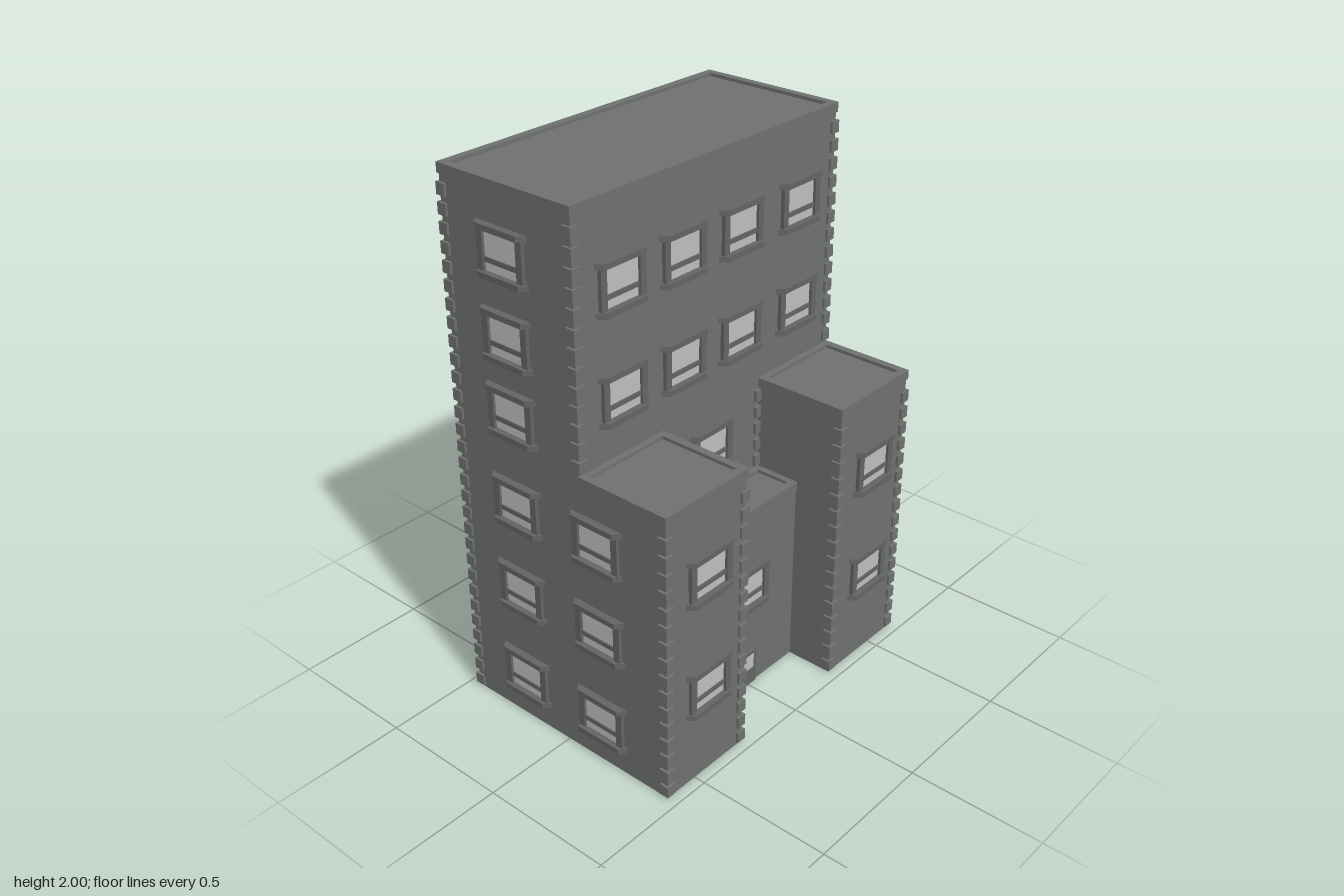
import * as THREE from 'three';

const mat = (name, color, side = THREE.FrontSide) => {
  const m = new THREE.MeshStandardMaterial({ color, side });
  m.name = name;
  return m;
};

export function createModel() {
  const root = new THREE.Group();
  root.name = 'building';
  const wall = mat('wall grey', 0x6f7270);
  const trim = mat('trim grey', 0x636664);
  const glass = mat('window glass', 0xc0c0c0, THREE.DoubleSide);

  const add = (parent, name, geo, material, x = 0, y = 0, z = 0) => {
    const m = new THREE.Mesh(geo, material);
    m.name = name;
    m.position.set(x, y, z);
    parent.add(m);
    return m;
  };
  const box = (parent, name, w, h, d, material, x, y, z) =>
    add(parent, name, new THREE.BoxGeometry(w, h, d), material, x, y, z);

  // Rectangular ring seen from above, raised from y0 to y1
  const ring = (parent, name, [x0, x1, z0, z1], t, y0, y1, material) => {
    const rect = (a, b, c, d) => [[a, c], [b, c], [b, d], [a, d]].map(p => new THREE.Vector2(...p));
    const s = new THREE.Shape(rect(x0, x1, -z1, -z0));
    s.holes.push(new THREE.Path(rect(x0 + t, x1 - t, -z1 + t, -z0 - t)));
    const g = new THREE.ExtrudeGeometry(s, { depth: y1 - y0, bevelEnabled: false });
    add(parent, name, g.rotateX(-Math.PI / 2), material, 0, y0, 0);
  };

  // Hollow block, open below, with a recessed roof and a slim parapet cap
  const block = (name, r, h) => {
    const g = new THREE.Group();
    g.name = name;
    root.add(g);
    const [x0, x1, z0, z1] = r, e = 0.005;
    ring(g, 'walls', r, 0.012, 0, h - 0.035, wall);
    ring(g, 'parapet', [x0 - e, x1 + e, z0 - e, z1 + e], 0.028, h - 0.035, h, wall);
    box(g, 'roof', x1 - x0 - 0.02, 0.02, z1 - z0 - 0.02, wall, (x0 + x1) / 2, h - 0.022, (z0 + z1) / 2);
  };
  const X = 0.636, ZB = -0.461, ZT = 0.1, ZF = 0.457, XI = 0.253, ZM = 0.277;
  block('tower', [-X, X, ZB, ZT], 2);
  block('rightWing', [-X, -XI, ZT, ZF], 1.105);
  block('leftWing', [XI, X, ZT, ZF], 1.105);
  block('entranceBlock', [-XI, XI, ZT, ZM], 0.75);

  // Corner stones: stacked L-shaped blocks; sx, sz point out of the corner
  const STEP = 0.065, STONE = 0.042;
  const corner = (x, z, sx, sz, y0, y1) => {
    const o = 0.009, a = 0.028;
    const pts = [[o, o], [o, -a], [0, -a], [0, 0], [-a, 0], [-a, o]]
      .map(([u, v]) => new THREE.Vector2(u * sx, -v * sz));
    const g = new THREE.ExtrudeGeometry(new THREE.Shape(pts), { depth: STONE, bevelEnabled: false });
    g.rotateX(-Math.PI / 2);
    for (let y = y0; y + STONE < y1; y += STEP) add(root, 'cornerStone', g, wall, x, y, z);
  };
  for (const s of [-1, 1]) {
    corner(s * X, ZB, s, -1, 0.01, 1.965);
    corner(s * X, ZT, s, 1, 1.115, 1.965);
    corner(s * X, ZF, s, 1, 0.01, 1.07);
    corner(s * XI, ZF, -s, 1, 0.01, 1.07);
    // Stones where the wings meet the tower
    for (let y = 0.76; y < 1.04; y += STEP)
      box(root, 'innerStone', 0.028, STONE, 0.012, wall, s * (XI - 0.013), y + STONE / 2, ZT + 0.006);
    // Stone strips on the back
    for (let y = 0.01; y < 1.92; y += STEP)
      box(root, 'backStripStone', 0.034, STONE, 0.009, wall, s * 0.21, y + STONE / 2, ZB - 0.0045);
  }

  // Window parts, built facing +z
  const barShape = new THREE.Shape([[-0.112, 0], [-0.09, -0.026], [0.09, -0.026], [0.112, 0]]
    .map(p => new THREE.Vector2(...p)));
  const barGeo = new THREE.ExtrudeGeometry(barShape, { depth: 0.02, bevelEnabled: false });
  barGeo.rotateX(-Math.PI / 2);
  const jambGeo = new THREE.BoxGeometry(0.026, 0.144, 0.014);
  const paneGeo = new THREE.BoxGeometry(0.148, 0.146, 0.004);
  const railGeo = new THREE.BoxGeometry(0.146, 0.017, 0.008);
  const windowAt = (x, y, z, turn = 0) => {
    const g = new THREE.Group();
    g.name = 'window';
    add(g, 'lintel', barGeo, trim, 0, 0.07, 0);
    add(g, 'sill', barGeo, trim, 0, -0.09, 0);
    for (const s of [-1, 1]) add(g, 'jamb', jambGeo, trim, s * 0.086, 0, 0.007);
    add(g, 'pane', paneGeo, glass, 0, 0, 0.002);
    add(g, 'rail', railGeo, trim, 0, -0.031, 0.005);
    g.position.set(x, y, z);
    g.rotation.y = turn;
    root.add(g);
  };

  // Front windows
  for (const y of [1.7, 1.323])
    for (const x of [-0.431, -0.146, 0.14, 0.447]) windowAt(x, y, ZT);
  for (const y of [0.803, 0.36])
    for (const x of [-0.431, 0.46]) windowAt(x, y, ZF);
  windowAt(-0.004, 0.932, ZT);
  windowAt(-0.004, 0.431, ZM);

  // Side and back windows
  [1.768, 1.485, 1.217, 0.878, 0.537, 0.18].forEach((y, i) => {
    for (const s of [-1, 1]) {
      windowAt(s * X, y, -0.196, s * Math.PI / 2);
      if (i > 2) windowAt(s * X, y, 0.164, s * Math.PI / 2);
    }
    for (const x of [-0.446, 0, 0.446]) windowAt(x, y, ZB, Math.PI);
  });

  // Front door with a small pane
  box(root, 'door', 0.086, 0.143, 0.006, trim, 0, 0.0715, ZM + 0.003);
  box(root, 'doorPane', 0.052, 0.058, 0.004, glass, 0, 0.1, ZM + 0.006);

  return root;
}
